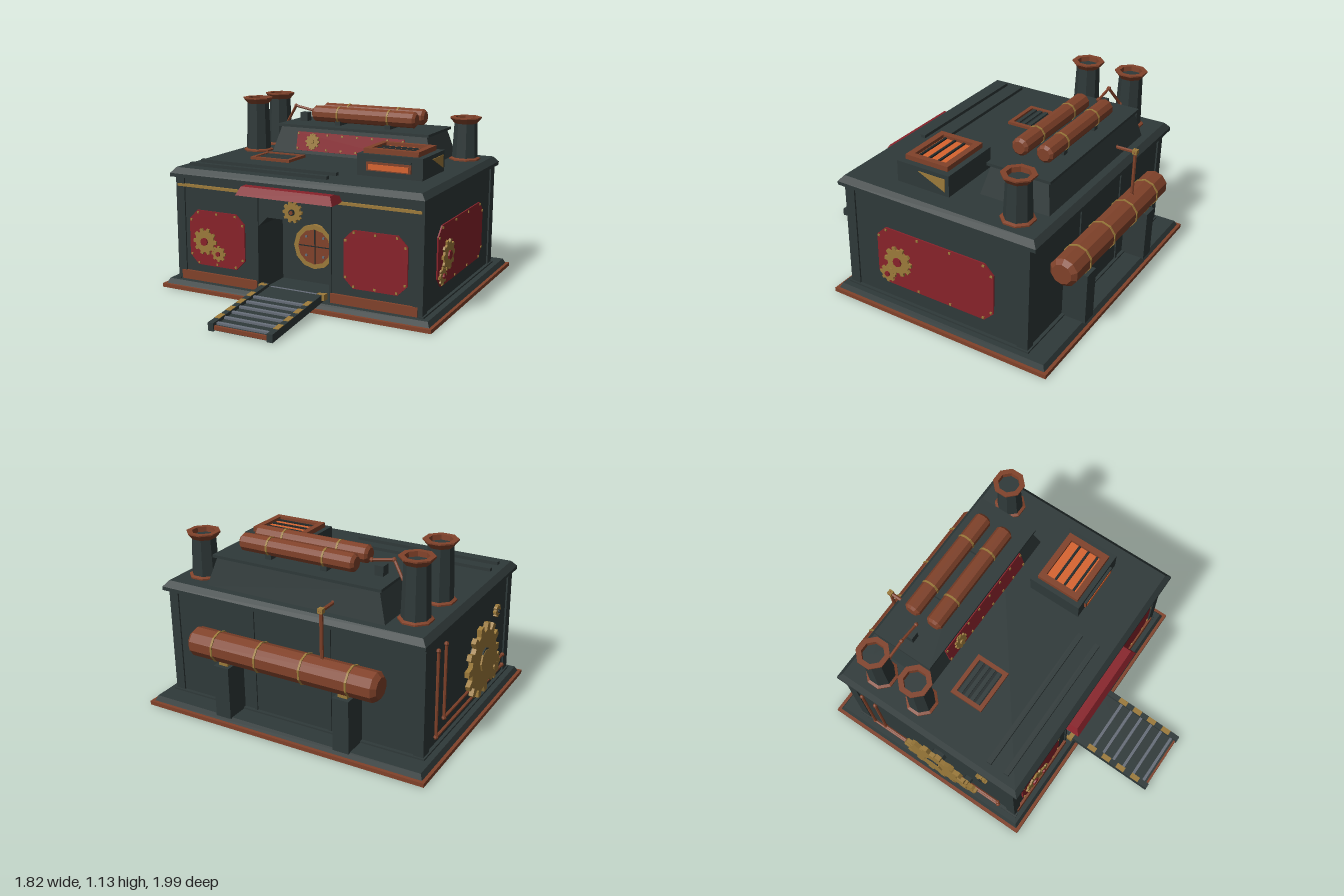
import * as THREE from 'three';

const mat = (name, color) => {
  const m = new THREE.MeshStandardMaterial({ color, flatShading: true });
  m.name = name;
  return m;
};
const iron = mat('dark iron', 0x2f3939), copper = mat('copper', 0x81422a), red = mat('red enamel', 0x88222a);
const gold = mat('brass', 0x9c7a3a), glow = mat('orange glow', 0xd8642f), steel = mat('steel', 0x666d78);
const shade = mat('deep shade iron', 0x222a2b);

export function createModel() {
  const root = new THREE.Group();
  root.name = 'workshop';

  const add = (name, geo, m, parent = root, x = 0, y = 0, z = 0) => {
    const mesh = new THREE.Mesh(geo, m);
    mesh.name = name;
    mesh.position.set(x, y, z);
    parent.add(mesh);
    return mesh;
  };
  const group = (name, x, y, z, parent = root) => {
    const g = new THREE.Group();
    g.name = name;
    g.position.set(x, y, z);
    parent.add(g);
    return g;
  };
  // box given by its minimum and maximum on each axis; the top can be inset
  const box = (name, m, x0, x1, y0, y1, z0, z1, parent = root, inX = 0, inZ = inX) => {
    const geo = new THREE.BoxGeometry(x1 - x0, y1 - y0, z1 - z0);
    const p = geo.attributes.position;
    for (let i = 0; i < p.count; i++) if (p.getY(i) > 0) {
      p.setX(i, p.getX(i) - Math.sign(p.getX(i)) * inX);
      p.setZ(i, p.getZ(i) - Math.sign(p.getZ(i)) * inZ);
    }
    return add(name, geo, m, parent, (x0 + x1) / 2, (y0 + y1) / 2, (z0 + z1) / 2);
  };
  const poly = (pts) => new THREE.Shape(pts.map(([x, y]) => new THREE.Vector2(x, y)));
  const extrude = (shape, depth) => new THREE.ExtrudeGeometry(shape, { depth, bevelEnabled: false });
  const lathe = (pts, n) => new THREE.LatheGeometry(pts.map(([x, y]) => new THREE.Vector2(x, y)), n, Math.PI / n);
  const disc = (r, d, n) => new THREE.CylinderGeometry(r, r, d, n).rotateX(Math.PI / 2);
  // straight pipe runs with joints
  const pipe = (name, pts, r) => {
    const g = group(name, 0, 0, 0);
    const v = pts.map((p) => new THREE.Vector3(...p));
    for (let i = 1; i < v.length; i++)
      add('pipeRun', new THREE.TubeGeometry(new THREE.LineCurve3(v[i - 1], v[i]), 1, r, 6), copper, g);
    v.forEach((p) => add('pipeJoint', new THREE.SphereGeometry(r * 1.6, 6, 4), copper, g, p.x, p.y, p.z));
  };
  // toothed wheel facing +z
  const gear = (name, parent, x, y, z, r, teeth, depth, hub) => {
    const g = group(name, x, y, z, parent);
    const pts = [];
    for (let i = 0; i < teeth; i++)
      [[-0.3, 0.8], [-0.18, 1], [0.18, 1], [0.3, 0.8]].forEach(([o, k]) => {
        const a = ((i + o) / teeth) * Math.PI * 2;
        pts.push([Math.cos(a) * r * k, Math.sin(a) * r * k]);
      });
    add('wheel', extrude(poly(pts), depth), gold, g);
    add('hub', disc(r * 0.3, depth + 0.012, 8), hub, g, 0, 0, depth / 2 + 0.004);
  };
  // chamfered red plate with rivets, facing +z
  const panel = (name, x, y, z, w, h, c, cols, parent = root) => {
    const g = group(name, x, y, z, parent), a = w / 2, b = h / 2;
    add('plate', extrude(poly([[-a + c, -b], [a - c, -b], [a, -b + c], [a, b - c], [a - c, b], [-a + c, b], [-a, b - c], [-a, -b + c]]), 0.009), red, g);
    const rivet = new THREE.BoxGeometry(0.013, 0.013, 0.008);
    const put = (px, py) => add('rivet', rivet, gold, g, px, py, 0.011);
    for (const s of [-1, 1]) {
      for (let i = 0; i < cols; i++) put((i / (cols - 1) - 0.5) * (w - 2 * c - 0.01), s * (b - 0.014));
      if (c > 0.02) for (const t of [-1, 1]) put(s * (a - 0.014), t * (b - c - 0.005));
    }
    return g;
  };
  // eight-sided tank lying along x
  const tank = (name, x0, x1, y, z, r, bands) => {
    const L = x1 - x0, g = group(name, (x0 + x1) / 2, y, z);
    add('shell', lathe([[0, -L / 2], [r * 0.7, -L / 2], [r, -L / 2 + r * 0.3], [r, L / 2 - r * 0.3], [r * 0.7, L / 2], [0, L / 2]], 10).rotateZ(-Math.PI / 2), copper, g);
    bands.forEach((b) => add('band', new THREE.CylinderGeometry(r * 1.06, r * 1.06, 0.012, 10).rotateY(Math.PI / 10).rotateZ(-Math.PI / 2), gold, g, b - (x0 + x1) / 2));
  };

  // base
  box('basePlate', copper, -0.91, 0.91, 0, 0.024, -0.99, 0.47);
  box('plinth', iron, -0.89, 0.89, 0.024, 0.055, -0.97, 0.45, root, 0.015);

  // walls with the entrance recess cut into the front
  box('rearHall', iron, -0.82, 0.82, 0.05, 0.73, -0.82, 0.1);
  add('frontWall', extrude(poly([[-0.82, 0.05], [-0.24, 0.05], [-0.24, 0.46], [-0.18, 0.52], [0.18, 0.52], [0.24, 0.46], [0.24, 0.05], [0.82, 0.05], [0.82, 0.73], [-0.82, 0.73]]), 0.29), iron, root, 0, 0, 0.1);
  for (const s of [-1, 1]) {
    box('frontPost', iron, s * 0.8 - 0.03, s * 0.8 + 0.03, 0.05, 0.73, 0.335, 0.4);
    box('rearPost', iron, s * 0.8 - 0.03, s * 0.8 + 0.03, 0.05, 0.73, -0.83, -0.76);
    box('entrancePost', iron, s * 0.247 - 0.007, s * 0.247 + 0.007, 0.05, 0.73, 0.385, 0.4);
    box('backRib', iron, s * 0.25 - 0.01, s * 0.25 + 0.01, 0.05, 0.73, -0.828, -0.81);
    box('footTrim', copper, s * 0.525 - 0.275, s * 0.525 + 0.275, 0.058, 0.115, 0.38, 0.406);
    box('upperTrim', gold, s * 0.535 - 0.28, s * 0.535 + 0.28, 0.655, 0.672, 0.38, 0.406);
    box('sideFoot', iron, s * 0.825 - 0.015, s * 0.825 + 0.015, 0.05, 0.065, -0.84, 0.41);
  }
  box('backFoot', iron, -0.83, 0.83, 0.05, 0.065, -0.84, -0.8);

  // round door inside the recess
  const door = group('door', 0, 0.295, 0.1);
  add('doorLeaf', disc(0.125, 0.02, 12), copper, door, 0, 0, 0.01);
  add('doorRing', new THREE.RingGeometry(0.112, 0.142, 12), gold, door, 0, 0, 0.031);
  add('doorRim', new THREE.CylinderGeometry(0.142, 0.142, 0.03, 12, 1, true).rotateX(Math.PI / 2), gold, door, 0, 0, 0.016);
  box('doorSeam', shade, -0.003, 0.003, -0.112, 0.112, 0.02, 0.024, door);
  box('doorSeam', shade, -0.112, 0.112, -0.003, 0.003, 0.02, 0.024, door);
  for (const s of [-1, 1]) for (const t of [-1, 1]) add('doorBolt', disc(0.009, 0.01, 6), steel, door, s * 0.06, t * 0.06, 0.022);
  gear('entranceGear', root, 0, 0.575, 0.39, 0.065, 10, 0.018, shade);
  add('entranceGearCap', disc(0.012, 0.01, 8), copper, root, 0, 0.575, 0.418);
  box('awning', red, -0.32, 0.32, 0.668, 0.72, 0.36, 0.52, root, 0.025);

  // red panels and their gears
  const pl = panel('frontRightPanel', -0.535, 0.34, 0.392, 0.4, 0.35, 0.06, 3);
  gear('panelGear', pl, -0.085, -0.02, 0.01, 0.085, 10, 0.012, red);
  gear('panelGearSmall', pl, 0.013, -0.088, 0.008, 0.05, 8, 0.012, red);
  panel('frontLeftPanel', 0.535, 0.34, 0.392, 0.4, 0.35, 0.06, 3);
  const ps = panel('sidePanel', 0.822, 0.345, -0.215, 0.79, 0.37, 0.06, 4);
  ps.rotation.y = Math.PI / 2;
  gear('panelGear', ps, -0.245, -0.01, 0.01, 0.095, 10, 0.014, red);
  gear('panelGearSmall', ps, -0.325, -0.12, 0.008, 0.055, 8, 0.012, red);

  // gear train and pipes on the other side
  const train = group('gearTrain', -0.82, 0, 0);
  train.rotation.y = -Math.PI / 2;
  gear('greatGear', train, -0.16, 0.37, 0.045, 0.225, 14, 0.028, gold);
  add('greatAxle', disc(0.05, 0.08, 8), iron, train, -0.16, 0.4, 0.04);
  gear('pinion', train, 0.05, 0.24, 0.035, 0.09, 9, 0.025, gold);
  add('pinionAxle', disc(0.03, 0.05, 8), iron, train, 0.05, 0.24, 0.02);
  gear('upperGear', train, 0.17, 0.54, 0, 0.04, 8, 0.02, shade);
  pipe('outerSidePipe', [[-0.842, 0.65, -0.7], [-0.842, 0.13, -0.7], [-0.842, 0.13, 0.28]], 0.009);
  pipe('innerSidePipe', [[-0.842, 0.65, -0.6], [-0.842, 0.2, -0.6], [-0.842, 0.2, 0.28]], 0.009);

  // roof
  box('eaves', iron, -0.845, 0.845, 0.718, 0.74, -0.87, 0.44);
  box('roof', iron, -0.845, 0.845, 0.74, 0.775, -0.87, 0.44, root, 0.03);
  for (const z of [0.195, 0.315]) box('roofRail', iron, -0.77, 0.19, 0.77, 0.795, z - 0.016, z + 0.016);

  // raised roof house
  box('roofHouse', iron, -0.575, 0.575, 0.77, 0.947, -0.795, -0.355, root, 0.055, 0.04);
  box('roofHouseLid', iron, -0.54, 0.54, 0.945, 0.962, -0.775, -0.375);
  const rp = panel('roofHousePanel', -0.005, 0.857, -0.371, 0.77, 0.125, 0.005, 8);
  rp.rotation.x = -0.22;
  gear('roofGear', rp, -0.265, 0, 0.008, 0.052, 10, 0.012, gold);
  tank('roofTankFront', -0.33, 0.41, 1.03, -0.5, 0.053, [-0.14, 0.22]);
  tank('roofTankRear', -0.33, 0.41, 1.03, -0.655, 0.053, [-0.14, 0.22]);
  for (const x of [-0.14, 0.22]) box('tankSaddle', iron, x - 0.02, x + 0.02, 0.96, 0.99, -0.69, -0.465);
  box('valveBox', iron, -0.465, -0.412, 0.955, 1.02, -0.61, -0.55);
  pipe('chimneyPipe', [[-0.61, 0.93, -0.62], [-0.515, 1.06, -0.58], [-0.38, 1.035, -0.58]], 0.009);

  // chimneys
  for (const [x, z, top] of [[-0.68, -0.645, 1.135], [-0.68, -0.35, 1.135], [0.68, -0.665, 1.05]]) {
    const c = group('chimney', x, 0.772, z), h = top - 0.772;
    add('stack', lathe([[0.083, 0], [0.072, h - 0.03], [0, h - 0.03]], 8), iron, c);
    add('collar', lathe([[0.1, 0], [0.1, 0.012], [0.08, 0.02]], 8), copper, c);
    add('crown', lathe([[0.073, h - 0.04], [0.1, h - 0.008], [0.1, h], [0.068, h], [0.066, h - 0.03]], 8), copper, c);
  }

  // skylight with glowing slots
  const frame = (name, x0, x1, y0, y1, z0, z1, t) => {
    const g = group(name, 0, 0, 0);
    box('frameSide', copper, x0, x0 + t, y0, y1, z0, z1, g);
    box('frameSide', copper, x1 - t, x1, y0, y1, z0, z1, g);
    box('frameEnd', copper, x0 + t, x1 - t, y0, y1, z0, z0 + t, g);
    box('frameEnd', copper, x0 + t, x1 - t, y0, y1, z1 - t, z1, g);
  };
  box('skylightBox', iron, 0.28, 0.7, 0.77, 0.905, -0.235, 0.115);
  frame('skylightFrame', 0.31, 0.66, 0.9, 0.935, -0.2, 0.085, 0.038);
  box('skylightGlow', glow, 0.34, 0.63, 0.9, 0.915, -0.17, 0.055);
  for (let i = 0; i < 3; i++) box('skylightSlat', shade, 0.347, 0.623, 0.91, 0.924, -0.108 + i * 0.064, -0.094 + i * 0.064);
  box('slotFrame', copper, 0.345, 0.63, 0.81, 0.862, 0.11, 0.128);
  box('slotGlow', glow, 0.36, 0.615, 0.817, 0.85, 0.125, 0.131);
  box('slotHood', iron, 0.345, 0.63, 0.866, 0.876, 0.11, 0.13);
  add('sideGrille', extrude(poly([[0.03, 0.88], [0.21, 0.8], [0.21, 0.88]]), 0.006), gold, root, 0.698, 0, 0).rotation.y = Math.PI / 2;

  // roof vent
  frame('ventFrame', -0.545, -0.26, 0.77, 0.792, -0.24, -0.02, 0.026);
  box('ventBed', shade, -0.52, -0.285, 0.77, 0.779, -0.215, -0.045);
  for (let i = 0; i < 4; i++) box('ventSlat', iron, -0.52, -0.285, 0.775, 0.787, -0.205 + i * 0.042, -0.18 + i * 0.042);

  // rear tank on its supports
  tank('rearTank', -0.61, 0.61, 0.465, -0.9, 0.087, [-0.44, -0.15, 0.14, 0.43]);
  for (const x of [-0.4, 0.38]) {
    box('tankSupport', iron, x - 0.05, x + 0.05, 0.05, 0.372, -0.97, -0.8);
    box('tankCradle', gold, x - 0.03, x + 0.03, 0.37, 0.39, -0.945, -0.855);
  }
  pipe('rearPipe', [[-0.25, 0.54, -0.9], [-0.25, 0.83, -0.9], [-0.25, 0.83, -0.77]], 0.011);
  add('rearPipeJoint', new THREE.BoxGeometry(0.03, 0.028, 0.03), gold, root, -0.25, 0.832, -0.9);

  // entrance ramp, sloping down to the front
  const slab = (name, m, x0, x1, z0, z1, lift, thick) => {
    const top = (z) => 0.108 - ((z - 0.4) / 0.6) * 0.055 + lift;
    const s = poly([[-z1, top(z1) - thick], [-z0, top(z0) - thick], [-z0, top(z0)], [-z1, top(z1)]]);
    const geo = extrude(s, x1 - x0).rotateY(Math.PI / 2);
    return add(name, geo, m, root, x0, 0, 0);
  };
  slab('rampDeck', iron, -0.175, 0.175, 0.39, 0.99, -0.02, 0.025);
  for (const s of [-1, 1]) {
    const x = s * 0.19;
    slab('rampRail', iron, x - 0.018, x + 0.018, 0.39, 1, 0, 0.048);
    for (let i = 0; i < 4; i++) slab('rampStripe', gold, x - 0.017, x + 0.017, 0.54 + i * 0.111, 0.6 + i * 0.111, 0.003, 0.006);
    box('rampHinge', gold, s * 0.2 - 0.025, s * 0.2 + 0.025, 0.07, 0.108, 0.39, 0.43);
  }
  for (let i = 0; i < 6; i++) slab('rampRung', steel, -0.172, 0.172, 0.56 + i * 0.078, 0.578 + i * 0.078, -0.008, 0.014);
  slab('rampLip', copper, -0.172, 0.172, 0.98, 0.993, -0.018, 0.024);
  box('doorSill', steel, -0.17, 0.17, 0.05, 0.085, 0.36, 0.41);

  return root;
}
